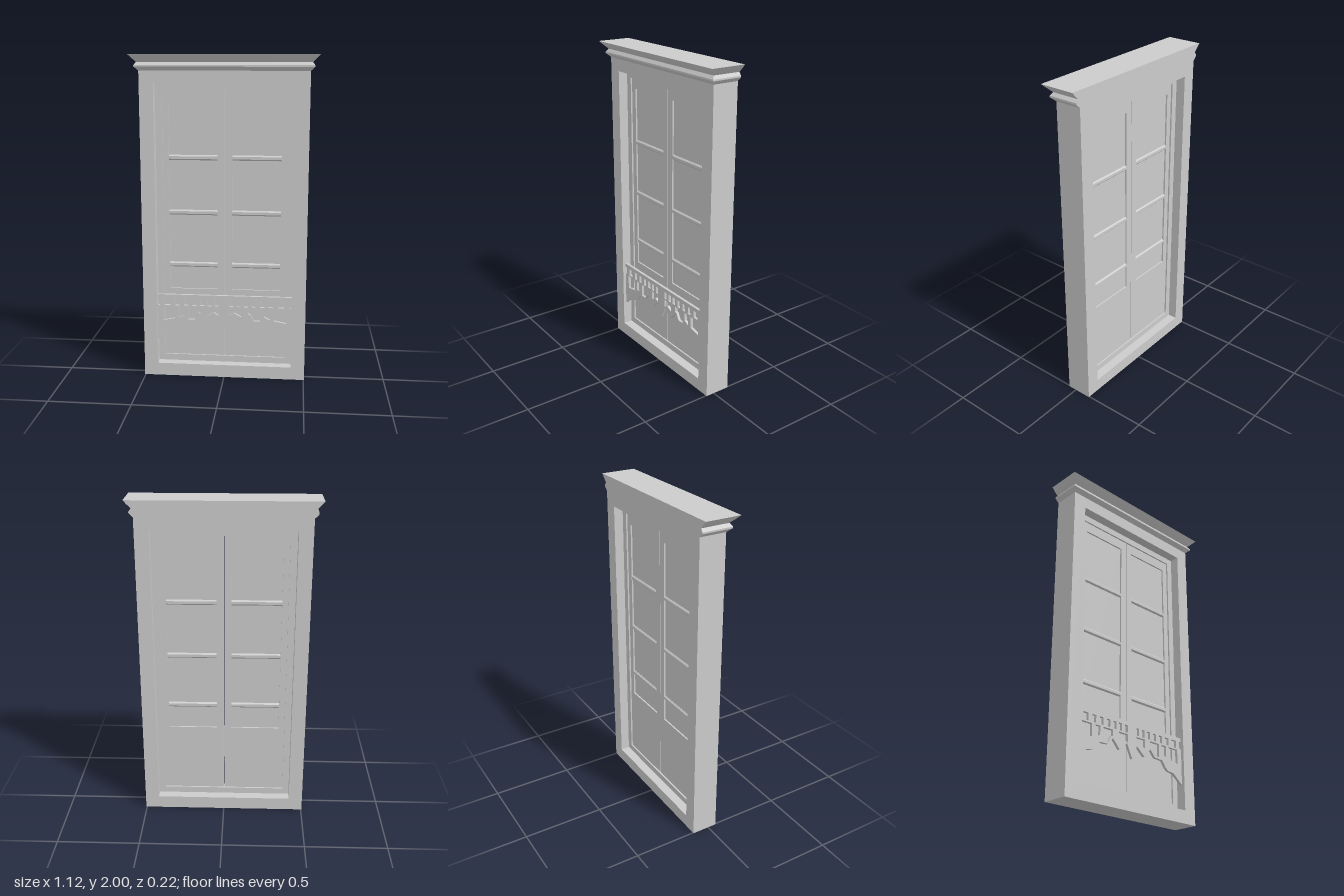
import * as THREE from 'three';

const material = new THREE.MeshStandardMaterial({ color: 0xcccccc, flatShading: true });

const polygon = (points) => points.map(([x, y]) => new THREE.Vector2(x, y));
const rect = (x0, x1, y0, y1) => polygon([[x0, y0], [x1, y0], [x1, y1], [x0, y1]]);

// Flat plate with cut-outs, spanning z0..z1
function plate(name, outline, holes, z0, z1) {
  const shape = new THREE.Shape(outline);
  for (const hole of holes) shape.holes.push(new THREE.Path(hole));
  const geometry = new THREE.ExtrudeGeometry(shape, { depth: z1 - z0, bevelEnabled: false });
  geometry.translate(0, 0, z0);
  const mesh = new THREE.Mesh(geometry, material);
  mesh.name = name;
  return mesh;
}

// Moulding wrapped round the front and both ends, flush at the back
function cornice(halfWidth, front, back, profile) {
  const positions = [];
  const ring = ([y, o]) => [
    [-halfWidth - o, y, front + o], [halfWidth + o, y, front + o],
    [halfWidth + o, y, back], [-halfWidth - o, y, back],
  ];
  const quad = (a, b, c, d) => positions.push(...a, ...b, ...c, ...a, ...c, ...d);
  const rings = profile.map(ring);
  for (let i = 0; i < rings.length - 1; i++) {
    for (let j = 0; j < 4; j++) {
      const k = (j + 1) % 4;
      quad(rings[i][j], rings[i][k], rings[i + 1][k], rings[i + 1][j]);
    }
  }
  quad(...rings[rings.length - 1]);
  quad(...[...rings[0]].reverse());
  const geometry = new THREE.BufferGeometry();
  geometry.setAttribute('position', new THREE.Float32BufferAttribute(positions, 3));
  geometry.computeVertexNormals();
  const mesh = new THREE.Mesh(geometry, material);
  mesh.name = 'cornice';
  return mesh;
}

// Horizontal glazing bar with bevelled front and back
function glazingBar(x0, x1, y, z) {
  const section = new THREE.Shape(polygon([
    [-0.012, -0.008], [-0.004, -0.016], [0.004, -0.016], [0.012, -0.008],
    [0.012, 0.008], [0.004, 0.016], [-0.004, 0.016], [-0.012, 0.008],
  ]));
  const geometry = new THREE.ExtrudeGeometry(section, { depth: x1 - x0, bevelEnabled: false });
  geometry.rotateY(Math.PI / 2);
  geometry.translate(x0, y, z);
  const mesh = new THREE.Mesh(geometry, material);
  mesh.name = 'glazingBar';
  return mesh;
}

// One glazed leaf with a solid lower panel
function doorLeaf(side) {
  const leaf = new THREE.Group();
  leaf.name = side > 0 ? 'leftDoor' : 'rightDoor';
  const span = (a, b) => (side > 0 ? [a, b] : [-b, -a]);
  const [x0, x1] = span(0.002, 0.38);
  const [w0, w1] = span(0.045, 0.343);
  leaf.add(plate('doorFrame', rect(x0, x1, 0.12, 1.79), [rect(w0, w1, 0.557, 1.727)], -0.04, -0.015));
  leaf.add(plate('glass', rect(w0, w1, 0.557, 1.727), [], -0.03, -0.025));
  for (const y of [0.713, 1.045, 1.385]) leaf.add(glazingBar(w0, w1, y, -0.0275));
  return leaf;
}

// Pierced valance with a jagged lower edge, mirrored about the middle
function fretwork() {
  const mirror = (points) => points.map(([x, y]) => [-x, y]).reverse();
  const half = [
    [0.04, 0.395], [0.1, 0.345], [0.15, 0.4], [0.19, 0.358], [0.25, 0.355], [0.28, 0.315],
    [0.3, 0.3], [0.35, 0.293], [0.42, 0.235],
    [0.42, 0.46], [0.405, 0.46], [0.405, 0.505], [0.42, 0.505], [0.42, 0.53],
  ];
  const outline = polygon([[0, 0.312], ...half, ...mirror(half)]);

  const slots = [[0.035, 0.057], [0.08, 0.104], [0.123, 0.15], [0.173, 0.2],
    [0.225, 0.252], [0.28, 0.308], [0.338, 0.375]]
    .map(([a, b]) => [[a, 0.46], [b, 0.46], [b, 0.505], [a, 0.505]]);
  const panes = [
    [[0.035, 0.45], [0.105, 0.45], [0.105, 0.395], [0.065, 0.418], [0.035, 0.4]],
    [[0.15, 0.45], [0.225, 0.45], [0.225, 0.37], [0.185, 0.37], [0.165, 0.41], [0.15, 0.415]],
    [[0.245, 0.45], [0.285, 0.45], [0.285, 0.38], [0.25, 0.397]],
    [[0.31, 0.45], [0.385, 0.45], [0.385, 0.36], [0.31, 0.375]],
  ];
  const holes = [...slots, ...panes].flatMap((p) => [polygon(p), polygon(mirror(p))]);
  return plate('fretwork', outline, holes, 0.018, 0.035);
}

export function createModel() {
  const model = new THREE.Group();
  model.name = 'glazedDoubleDoor';

  // Surround and the narrower stop that carries the leaves
  model.add(plate('surround', rect(-0.505, 0.505, 0, 1.905), [rect(-0.42, 0.42, 0.08, 1.83)], -0.108, 0.055));
  model.add(plate('innerFrame', rect(-0.42, 0.42, 0.08, 1.83), [rect(-0.38, 0.38, 0.12, 1.79)], -0.05, -0.005));

  // Cornice profile: height, overhang
  model.add(cornice(0.505, 0.055, -0.108, [
    [1.905, 0], [1.928, 0.024], [1.937, 0.024], [1.955, 0.01], [1.979, 0.034], [2, 0.053],
  ]));

  model.add(doorLeaf(1), doorLeaf(-1));
  model.add(fretwork());
  return model;
}
